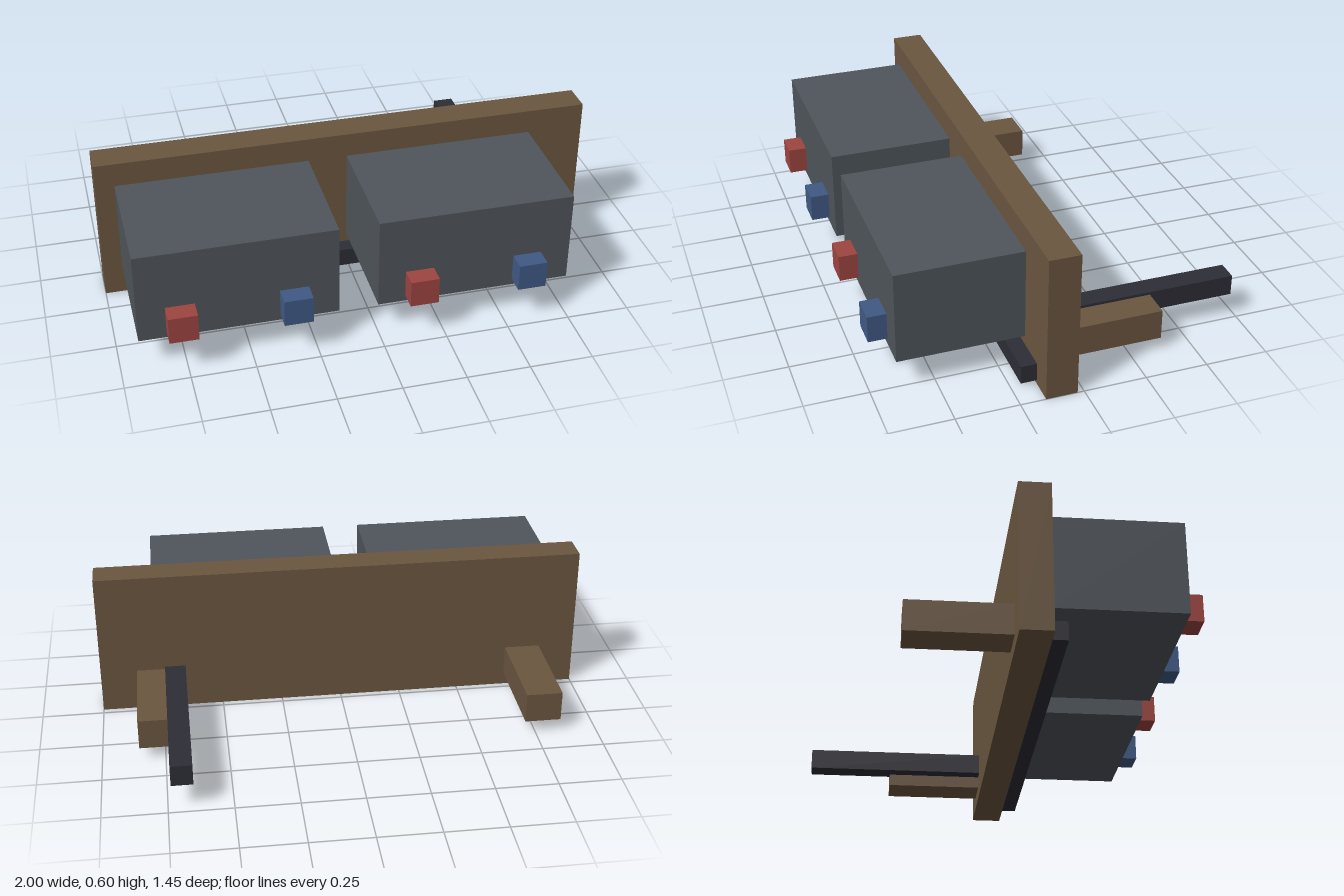
import * as THREE from 'three';

const paint = (name, color) => {
  const m = new THREE.MeshStandardMaterial({ color });
  m.name = name;
  return m;
};

export function createModel() {
  const wood = paint('brown wood', 0x6b5640);
  const casing = paint('grey casing', 0x4f555b);
  const dark = paint('dark rubber', 0x2d2d36);
  const red = paint('red terminal', 0x9e4540);
  const blue = paint('blue terminal', 0x405a85);

  const model = new THREE.Group();
  model.name = 'mountedBatteryBoard';

  // Box given by its extents along x, y and z
  const box = (name, material, [x0, x1], [y0, y1], [z0, z1], parent = model) => {
    const mesh = new THREE.Mesh(new THREE.BoxGeometry(x1 - x0, y1 - y0, z1 - z0), material);
    mesh.position.set((x0 + x1) / 2, (y0 + y1) / 2, (z0 + z1) / 2);
    mesh.name = name;
    parent.add(mesh);
  };

  // Upright board with a strip along its lower front
  box('board', wood, [-1, 1], [0, 0.6], [0.026, 0.15]);
  box('frontStrip', dark, [-0.9, 0.9], [0.015, 0.09], [0.15, 0.213]);

  // Two casings, each with a red and a blue terminal
  for (const [side, x] of [['right', -0.54], ['left', 0.385]]) {
    const unit = new THREE.Group();
    unit.name = side + 'Unit';
    unit.position.x = x;
    model.add(unit);
    box('casing', casing, [-0.385, 0.385], [0.128, 0.502], [0.15, 0.65], unit);
    box('redTerminal', red, [-0.278, -0.166], [0.154, 0.264], [0.65, 0.725], unit);
    box('blueTerminal', blue, [0.156, 0.268], [0.154, 0.264], [0.65, 0.725], unit);
  }

  // Rear brackets and the long handle beside the left one
  box('rightBracket', wood, [-0.852, -0.706], [0.053, 0.177], [-0.374, 0.026]);
  box('leftBracket', wood, [0.706, 0.852], [0.053, 0.177], [-0.374, 0.026]);
  box('rearHandle', dark, [0.65, 0.735], [0.103, 0.188], [-0.725, 0.026]);

  return model;
}
